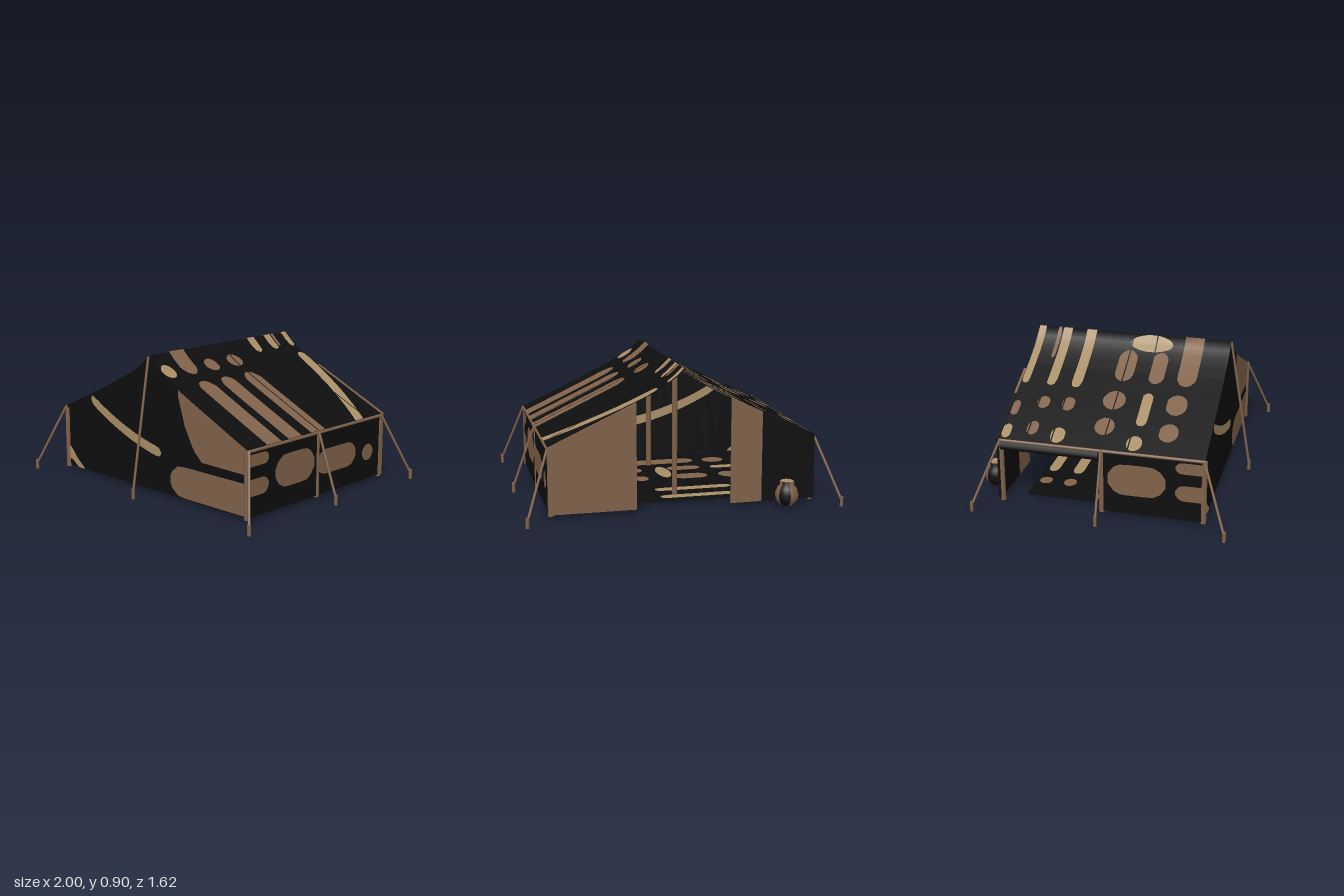
import * as THREE from 'three';

const material = (name, color) => {
  const m = new THREE.MeshStandardMaterial({ color });
  m.name = name;
  return m;
};

// Linear lookup in a short list of [u, value] points
const lookup = (points) => (u) => {
  let i = 1;
  while (i < points.length - 1 && points[i][0] < u) i++;
  const [a, b] = [points[i - 1], points[i]];
  return THREE.MathUtils.mapLinear(u, a[0], b[0], a[1], b[1]);
};

// Sagging roof line, from ridge to eave
const roofLine = [[0, 0.89], [0.05, 0.842], [0.1, 0.804], [0.17, 0.762], [0.25, 0.72], [0.4, 0.647], [0.6, 0.553], [0.85, 0.436]];
const roofHeight = lookup(roofLine);
const roofY = (x) => roofHeight(Math.abs(x));
const folds = roofLine.flatMap(([x]) => (x ? [x, -x] : [0]));

export function createModel() {
  const model = new THREE.Group();
  const black = material('black canvas', 0x0e0e0e);
  const brown = material('brown canvas', 0x80624a);
  const tan = material('tan canvas', 0xa88e66);

  const add = (geometry, mat, name, parent = model) => {
    const mesh = new THREE.Mesh(geometry, mat);
    mesh.name = name;
    parent.add(mesh);
    return mesh;
  };

  // Surfaces: at(u, v, offset) gives a point, sign gives the outward winding
  const roof = { at: (u, v, o) => [u, roofY(u) + o, v], sign: -1 };
  const front = { at: (u, v, o) => [u, v, 0.642 + o], sign: 1 };
  const floor = { at: (u, v, o) => [u, 0.0275 + o, v], sign: -1 };
  const side = (s) => ({ at: (u, v, o) => [s * (0.838 + o), v, u], sign: -s });

  // Cloth between the edge curves lo(u) and hi(u); a negative offset faces inward
  function cloth(surface, from, to, lo, hi, offset, mat, name, parent) {
    const us = [from, to];
    const samples = Array.from({ length: 9 }, (_, i) => from + (to - from) * (0.5 - 0.5 * Math.cos(Math.PI * (i + 1) / 10)));
    for (const u of [...folds, ...samples]) {
      if (u > from && u < to && us.every((w) => Math.abs(w - u) > 0.003)) us.push(u);
    }
    us.sort((a, b) => a - b);
    const positions = [], index = [];
    us.forEach((u, i) => {
      positions.push(...surface.at(u, lo(u), offset), ...surface.at(u, hi(u), offset));
      if (i === 0) return;
      const a = 2 * i - 2, b = a + 2, c = a + 3, d = a + 1;
      if (offset * surface.sign > 0) index.push(a, b, c, a, c, d);
      else index.push(a, c, b, a, d, c);
    });
    const geometry = new THREE.BufferGeometry();
    geometry.setAttribute('position', new THREE.Float32BufferAttribute(positions, 3));
    geometry.setIndex(index);
    geometry.computeVertexNormals();
    add(geometry, mat, name, parent);
  }

  // Blunt-ended patch from u = a to b, centre line v0 to v1, half width w
  function patch(surface, [mat, a, b, v0, v1, w, bend = 0, square = 0], offset, name, parent) {
    const mid = (u) => {
      const t = (u - a) / (b - a);
      return v0 + (v1 - v0) * t + 4 * bend * t * (1 - t);
    };
    const r = Math.min(w, (b - a) / 2);
    const half = (u) => {
      const d = Math.min(u - a, square ? r : b - u, r);
      return w * Math.sqrt(Math.max(0.06, 1 - (1 - d / r) ** 2));
    };
    cloth(surface, a, b, (u) => mid(u) - half(u), (u) => mid(u) + half(u), offset, mat, name, parent);
  }

  // Roof and lining
  for (const o of [0.001, -0.001]) cloth(roof, -0.845, 0.845, () => -0.64, () => 0.648, o, black, 'roof');
  const spots = [
    [brown, 0.24, 0.84, 0.013, 0.013, 0.067, 0, 1], [brown, 0.24, 0.84, 0.227, 0.227, 0.063, 0, 1],
    [brown, 0.24, 0.84, 0.422, 0.422, 0.066, 0, 1], [brown, 0.08, 0.175, 0.01, 0.01, 0.06],
    [brown, 0.08, 0.175, 0.22, 0.22, 0.055], [tan, 0.07, 0.17, 0.59, 0.59, 0.05],
    [tan, 0.16, 0.84, -0.6, -0.4, 0.04, -0.04, 1],
    [tan, -0.41, 0.1, -0.61, -0.61, 0.024], [tan, -0.41, 0.1, -0.44, -0.44, 0.034],
    [tan, -0.41, 0.1, -0.275, -0.275, 0.035], [brown, -0.2, 0.08, -0.49, -0.49, 0.012],
    [brown, -0.33, -0.1, 0.01, 0.01, 0.06], [brown, -0.33, -0.1, 0.22, 0.22, 0.05],
    [brown, -0.33, 0.17, 0.415, 0.415, 0.062], [tan, -0.1, -0.005, 0.14, 0.14, 0.14],
    [brown, -0.74, -0.615, -0.01, -0.01, 0.062], [brown, -0.55, -0.41, 0, 0, 0.072],
    [tan, -0.83, -0.725, 0.2, 0.2, 0.048], [tan, -0.65, -0.405, 0.205, 0.205, 0.035],
    [brown, -0.745, -0.615, 0.39, 0.39, 0.06], [brown, -0.55, -0.4, 0.395, 0.395, 0.066],
    [brown, -0.79, -0.69, -0.45, -0.45, 0.035], [brown, -0.59, -0.5, -0.44, -0.44, 0.04],
    [tan, -0.83, -0.72, -0.28, -0.28, 0.045], [brown, -0.59, -0.49, -0.28, -0.28, 0.04],
    [tan, -0.83, -0.73, -0.605, -0.605, 0.028], [brown, -0.66, -0.55, -0.605, -0.605, 0.024],
  ];
  const roofPatches = new THREE.Group();
  roofPatches.name = 'roofPatches';
  model.add(roofPatches);
  for (const s of spots) {
    patch(roof, s, 0.005, 'roofPatch', roofPatches);
    patch(roof, s, -0.005, 'liningPatch', roofPatches);
  }
  for (let i = 0; i < 7; i++) {
    const z = -0.47 + i * 0.16;
    cloth(roof, -0.84, 0.84, () => z - 0.004, () => z + 0.004, 0.008, black, 'roofSeam');
  }

  // Groundsheet, patterned on both faces
  add(new THREE.BoxGeometry(1.41, 0.012, 1.07), black, 'groundsheet').position.set(-0.025, 0.0275, 0.035);
  for (const [mat, a, b, v0, ...rest] of spots) {
    const from = Math.max(a, -0.72), to = Math.min(b, 0.67);
    if (v0 < -0.45 || v0 > 0.52 || to - from < 0.05) continue;
    for (const o of [0.009, -0.009]) patch(floor, [mat, from, to, v0, ...rest], o, 'groundsheetPatch');
  }

  // Front gable wall and its markings, on both faces
  const slant = lookup([[0.26, 0.67], [0.33, 0.45], [0.4, 0.35], [0.45, 0.295], [0.84, 0.29]]);
  const cornerLow = lookup([[-0.84, 0.09], [-0.77, 0.07], [-0.73, 0.032], [-0.66, 0.032]]);
  const cornerHigh = lookup([[-0.84, 0.19], [-0.79, 0.16], [-0.74, 0.1], [-0.66, 0.04]]);
  for (const s of [1, -1]) {
    const o = s * 0.005;
    cloth(front, -0.84, 0.84, () => 0.03, roofY, s * 0.001, black, 'frontWall');
    patch(front, [tan, -0.57, 0.1, 0.535, 0.285, 0.032, -0.035], o, 'frontStripe');
    patch(front, [brown, 0.185, 0.84, 0.137, 0.137, 0.1, 0, 1], o, 'frontLowerPatch');
    cloth(front, 0.26, 0.84, slant, (u) => roofY(u) - 0.003, o, brown, 'frontUpperPatch');
    cloth(front, -0.84, -0.66, cornerLow, cornerHigh, o, tan, 'frontCornerPatch');
  }

  // Side walls; one half is rolled up under the eave
  for (const s of [1, -1]) {
    const wall = side(s);
    cloth(wall, s > 0 ? -0.635 : 0.01, 0.64, () => 0.03, () => 0.44, 0.001, black, 'sideWall');
    const marks = [
      [brown, 0.05, 0.41, 0.258, 0.258, 0.103],
      [brown, 0.47, 0.64, 0.375, 0.375, 0.037, 0, 1],
      [brown, 0.47, 0.64, 0.21, 0.21, 0.052, 0, 1],
    ];
    if (s > 0) marks.push([brown, -0.365, 0.02, 0.237, 0.237, 0.08], [brown, -0.545, -0.435, 0.213, 0.213, 0.055]);
    for (const m of marks) patch(wall, m, 0.005, 'sideWallPatch');
  }
  const roll = new THREE.CylinderGeometry(0.03, 0.03, 0.62, 10).rotateX(Math.PI / 2);
  add(roll, black, 'rolledWall').position.set(-0.835, 0.4, -0.315);

  // Back door flaps, tied open
  function flap(x0, x1, mat) {
    const top = (x) => 0.7 - (Math.abs(x) - 0.3) * 0.463;
    const corners = [[x0, 0.03], [x1, 0.03], [x1, top(x1)], [x0, top(x0)]];
    const shape = new THREE.Shape(corners.map(([x, y]) => new THREE.Vector2(x, y)));
    add(new THREE.ExtrudeGeometry(shape, { depth: 0.015, bevelEnabled: false }), mat, 'doorFlap').position.z = -0.652;
  }
  flap(0.3, 0.845, brown);
  flap(-0.5, -0.3, brown);
  flap(-0.845, -0.5, black);

  // Round bar between two points
  function bar(a, b, radius, name) {
    const p = new THREE.Vector3(...a), q = new THREE.Vector3(...b);
    const mesh = add(new THREE.CylinderGeometry(radius, radius, p.distanceTo(q), 8), brown, name);
    mesh.position.copy(p).lerp(q, 0.5);
    mesh.quaternion.setFromUnitVectors(new THREE.Vector3(0, 1, 0), q.sub(p).normalize());
  }

  // Wall poles, eave rails, guy ropes and pegs
  const guy = (a, b) => {
    bar(a, b, 0.008, 'guyRope');
    bar([b[0], 0, b[2]], [b[0], 0.065, b[2]], 0.011, 'peg');
  };
  for (const s of [1, -1]) {
    for (const [z, end] of [[0.642, 0.795], [0.01, 0.01], [-0.63, -0.78]]) {
      bar([s * 0.828, 0.02, z], [s * 0.828, 0.43, z], 0.018, 'wallPole');
      guy([s * 0.843, 0.44, z], [s * 0.987, 0.04, end]);
    }
    bar([s * 0.84, 0.433, -0.64], [s * 0.84, 0.433, 0.65], 0.01, 'eaveRail');
  }
  guy([0, 0.885, 0.65], [0, 0.04, 0.795]);

  // Inner ridge frame
  for (const z of [-0.4, 0.36]) bar([0, 0.03, z], [0, 0.86, z], 0.017, 'ridgePost');
  bar([0, 0.86, -0.44], [0, 0.86, 0.39], 0.012, 'ridgeBeam');

  // Round pot beside the door, in alternating wedges
  const pot = new THREE.Group();
  pot.name = 'pot';
  pot.position.set(-0.635, 0, -0.745);
  model.add(pot);
  const profile = [[0.005, 0.025], [0.04, 0.028], [0.068, 0.06], [0.074, 0.1], [0.06, 0.14], [0.043, 0.158], [0.047, 0.178], [0.038, 0.18]]
    .map(([x, y]) => new THREE.Vector2(x, y));
  for (let i = 0; i < 6; i++) {
    add(new THREE.LatheGeometry(profile, 4, i * Math.PI / 3, Math.PI / 3), i % 2 ? brown : black, 'potSide', pot);
  }
  add(new THREE.CylinderGeometry(0.04, 0.04, 0.008, 20), tan, 'potLid', pot).position.y = 0.177;

  return model;
}
